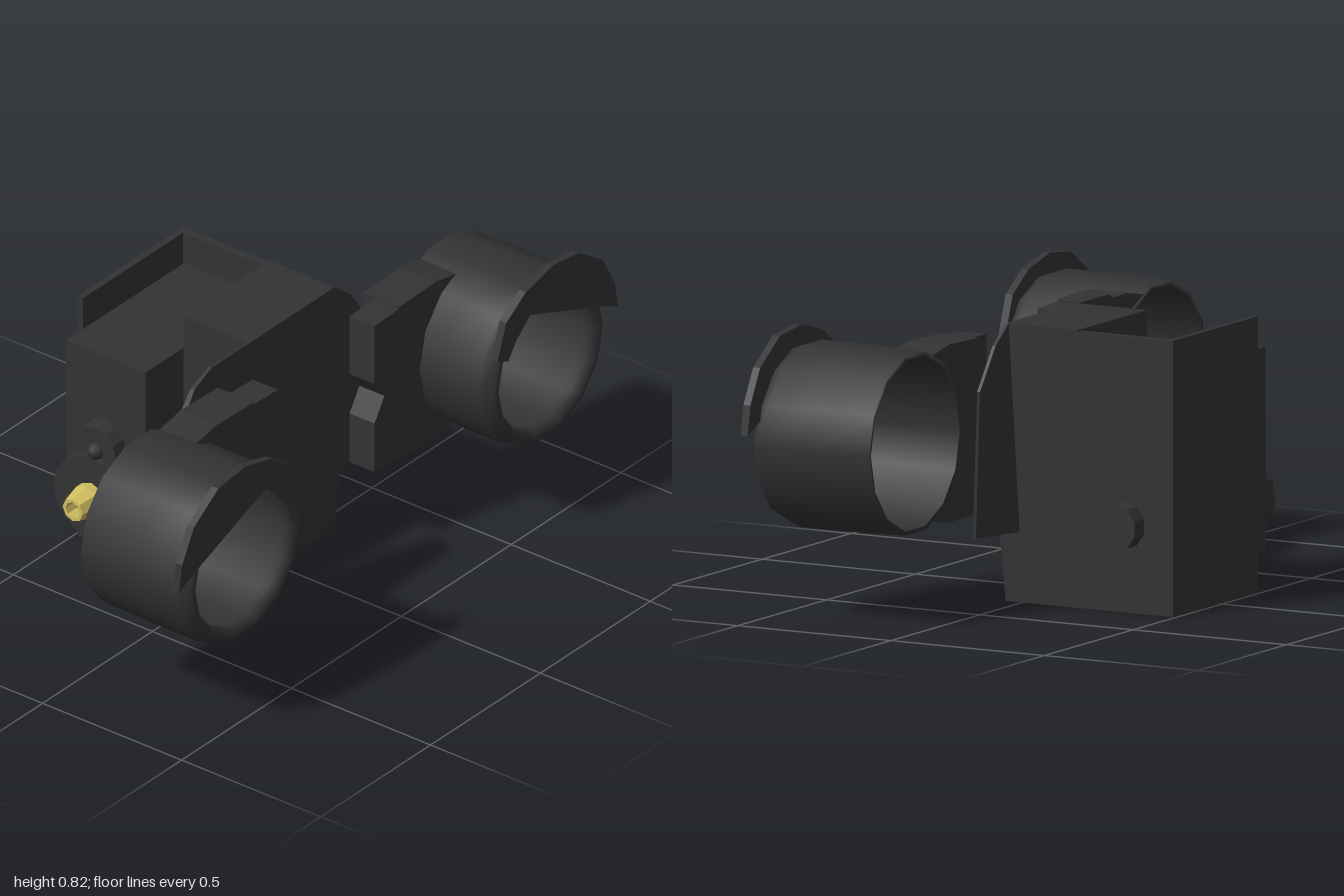
import * as THREE from 'three';

const dark = new THREE.MeshStandardMaterial({ color: 0x333333, side: THREE.DoubleSide, flatShading: true });
const smoothDark = new THREE.MeshStandardMaterial({ color: 0x333333, side: THREE.DoubleSide });
const brass = new THREE.MeshStandardMaterial({ color: 0xd0c060, flatShading: true });

const RING_Y = 0.51, RING_Z = 0.69;

function add(group, name, geometry, material = dark) {
  const mesh = new THREE.Mesh(geometry, material);
  mesh.name = name;
  group.add(mesh);
  return mesh;
}

// Box given by its limits on each axis
function box(x0, x1, y0, y1, z0, z1) {
  return new THREE.BoxGeometry(x1 - x0, y1 - y0, z1 - z0)
    .translate((x0 + x1) / 2, (y0 + y1) / 2, (z0 + z1) / 2);
}

// Outline of [z, y] points extruded along x
function extrudeX(points, x0, x1) {
  const shape = new THREE.Shape(points.map(([z, y]) => new THREE.Vector2(-z, y)));
  return new THREE.ExtrudeGeometry(shape, { depth: x1 - x0, bevelEnabled: false })
    .rotateY(Math.PI / 2).translate(x0, 0, 0);
}

// Cylinder along z
function rod(r0, r1, x, y, z0, z1, sides) {
  return new THREE.CylinderGeometry(r1, r0, z1 - z0, sides)
    .rotateX(Math.PI / 2).translate(x, y, (z0 + z1) / 2);
}

function arc(radius, from, to, steps) {
  return Array.from({ length: steps + 1 }, (_, i) => {
    const a = from + (to - from) * i / steps;
    return [RING_Z + radius * Math.cos(a), RING_Y + radius * Math.sin(a)];
  });
}

function createHousing() {
  const housing = new THREE.Group();
  housing.name = 'housing';
  add(housing, 'housingBlock', box(-0.18, 0.05, 0, 0.795, -0.26, 0.13));
  add(housing, 'outerWall', box(-0.49, -0.47, 0, 0.79, -0.26, 0.22));
  add(housing, 'backWall', box(-0.48, -0.17, 0, 0.79, -0.26, -0.235));

  // Motor sits inside the wall frame and stands out at the front
  add(housing, 'motor', box(-0.468, -0.182, 0.105, 0.69, -0.24, 0.3));
  add(housing, 'motorStub', rod(0.07, 0.07, -0.33, 0.25, -0.315, -0.25, 10));

  // Mounting plate: thick at the middle, thinning to its top, foot and back edge
  const plate = extrudeX([[0.3, 0], [0.3, 0.2], [0.45, 0.2], [0.45, 0.66], [0.38, 0.76], [0.3, 0.795],
    [-0.26, 0.795], [-0.33, 0.74], [-0.41, 0.62], [-0.41, 0.2], [-0.26, 0.2], [-0.26, 0]], 0, 1);
  const p = plate.attributes.position;
  for (let i = 0; i < p.count; i++) {
    const y = p.getY(i), z = p.getZ(i);
    const outer = y < 0.2 ? 0.055 + 0.1 * y : 0.075 - 0.033 * (y - 0.2);
    const inner = z < -0.3 ? outer - 0.01 : 0.045 - 0.06 * (0.795 - Math.max(y, 0.2));
    p.setX(i, p.getX(i) > 0.5 ? outer : inner);
  }
  plate.computeVertexNormals();
  add(housing, 'mountingPlate', plate);
  return housing;
}

function createGearbox() {
  const gearbox = new THREE.Group();
  gearbox.name = 'gearbox';
  add(gearbox, 'gearCover', rod(0.14, 0.135, -0.33, 0.248, 0.29, 0.36, 16));
  add(gearbox, 'upperLobe', rod(0.08, 0.075, -0.33, 0.4, 0.29, 0.345, 12));
  add(gearbox, 'lobeBridge', box(-0.405, -0.255, 0.3, 0.4, 0.29, 0.345));
  add(gearbox, 'coverKnob', new THREE.SphereGeometry(0.026, 8, 6).translate(-0.325, 0.4, 0.345), smoothDark);
  // Hollow brass nozzle
  const profile = [[0, 0.35], [0.05, 0.35], [0.05, 0.385], [0.036, 0.445], [0.025, 0.445], [0.022, 0.4], [0, 0.4]];
  add(gearbox, 'brassNozzle', new THREE.LatheGeometry(profile.map(([r, h]) => new THREE.Vector2(r, h)), 8)
    .rotateX(Math.PI / 2).translate(-0.33, 0.25, 0), brass);
  add(gearbox, 'nozzleBore', rod(0.023, 0.023, -0.33, 0.25, 0.36, 0.405, 8));
  return gearbox;
}

// One clamp ring with its hood and arm; side is +1 at the front, -1 at the back
function createClamp(side) {
  const clamp = new THREE.Group();
  clamp.name = side > 0 ? 'frontClamp' : 'backClamp';
  const flip = pts => pts.map(([z, y]) => [z * side, y]);

  // Tube with a lip turned inwards at its outer end
  const profile = [[0.25, 0.1], [0.262, 0.1], [0.266, 0.3], [0.266, 0.44], [0.25, 0.482],
    [0.225, 0.482], [0.212, 0.46], [0.235, 0.42], [0.25, 0.1]];
  add(clamp, 'clampTube', new THREE.LatheGeometry(profile.map(([r, h]) => new THREE.Vector2(r, h)), 14)
    .rotateZ(-Math.PI / 2).translate(0, RING_Y, RING_Z * side), smoothDark);

  // Crescent hood over the upper half of the outer end
  add(clamp, 'hood', extrudeX(flip([[1, 0.545], [0.985, 0.63], [0.93, 0.73], [0.82, 0.805], [0.7, 0.82],
    [0.58, 0.79], [0.49, 0.73], [0.45, 0.62], [0.5, 0.6], [0.535, 0.65], [0.6, 0.705], [0.9, 0.59]]), 0.467, 0.49));

  // Arm grows out of the ring and ends in two prongs
  const seat = arc(0.255, Math.PI * 1.38, Math.PI * 0.62, 8);
  add(clamp, 'clampArm', extrudeX(flip([...seat, [0.5, 0.765], [0.33, 0.76], [0.33, 0.26], [0.5, 0.255]]), 0.1, 0.23));
  add(clamp, 'armProngs', extrudeX(flip([[0.34, 0.265], [0.34, 0.755], [0.22, 0.75], [0.22, 0.56],
    [0.265, 0.5], [0.22, 0.43], [0.22, 0.27]]), 0.14, 0.23));
  return clamp;
}

export function createModel() {
  const model = new THREE.Group();
  model.name = 'motorWithClamps';
  model.add(createHousing(), createGearbox(), createClamp(1), createClamp(-1));
  return model;
}
